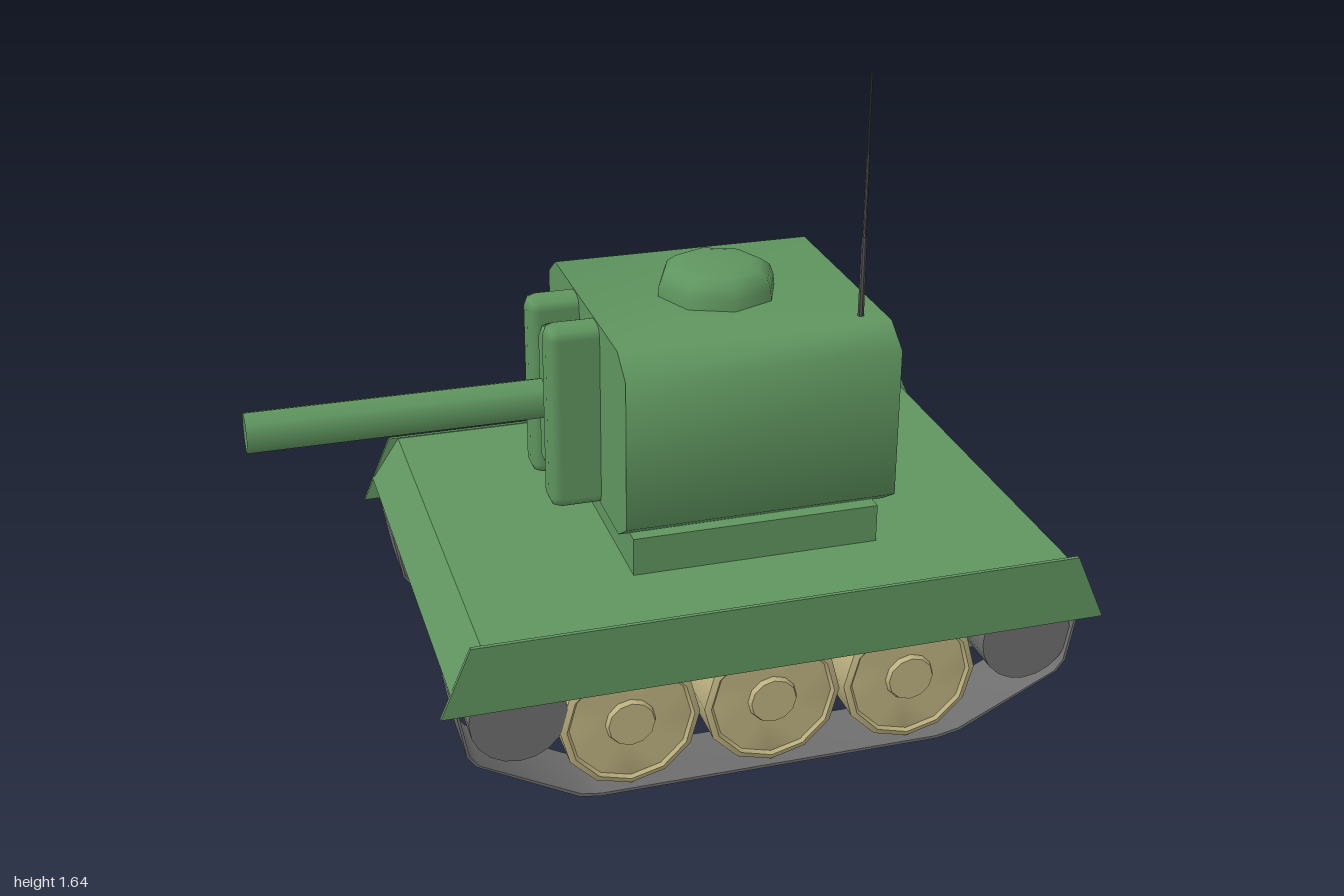
import * as THREE from 'three';
import { toCreasedNormals } from 'three/addons/utils/BufferGeometryUtils.js';
import { RoundedBoxGeometry } from 'three/addons/geometries/RoundedBoxGeometry.js';

const paint = (color, side = THREE.FrontSide) => new THREE.MeshStandardMaterial({ color, side });
const green = paint(0x5f955f);
const tan = paint(0xbdb180);
const grey = paint(0x6e6e6e);
const dark = paint(0x505050);

export function createModel() {
  const model = new THREE.Group();

  const add = (name, geometry, material, x = 0, y = 0, z = 0) => {
    const mesh = new THREE.Mesh(geometry, material);
    mesh.name = name;
    mesh.position.set(x, y, z);
    model.add(mesh);
    return mesh;
  };
  const toPoints = (list) => list.map(([x, y]) => new THREE.Vector2(x, y));

  // Profile in x and y, extruded along z and centred on z = 0
  const prism = (points, depth, hole) => {
    const shape = new THREE.Shape(toPoints(points));
    if (hole) shape.holes.push(new THREE.Path(toPoints(hole)));
    const geometry = new THREE.ExtrudeGeometry(shape, { depth, bevelEnabled: false });
    return geometry.translate(0, 0, -depth / 2);
  };
  // Box given by its ranges in x and y and its half width in z
  const block = (name, x0, x1, y0, y1, halfZ) =>
    add(name, new THREE.BoxGeometry(x1 - x0, y1 - y0, halfZ * 2), green, (x0 + x1) / 2, (y0 + y1) / 2, 0);
  // Turned part, profile as radius and height
  const turned = (points, sides, crease) =>
    toCreasedNormals(new THREE.LatheGeometry(toPoints(points), sides), crease);

  // Hull and deck with sloping ends
  block('lowerHull', -0.55, 0.88, 0.13, 0.38, 0.345);
  add('deck', prism([[-0.635, 0.37], [0.965, 0.37], [0.89, 0.483], [-0.56, 0.483]], 1.11), green);
  block('turretRing', -0.145, 0.475, 0.48, 0.58, 0.343);

  // Turret: chamfered section swept along x
  const section = [
    [-0.3, 0.575], [0.3, 0.575], [0.372, 0.622], [0.372, 1.0],
    [0.3, 1.05], [-0.3, 1.05], [-0.372, 1.0], [-0.372, 0.622],
  ];
  const turret = toCreasedNormals(prism(section, 0.675).rotateY(Math.PI / 2), 1.05);
  add('turret', turret, green, 0.1675, 0, 0);

  // Gun shield: two cheeks around a slightly lower middle
  for (const side of [-1, 1]) {
    add('gunShieldCheek', new RoundedBoxGeometry(0.175, 0.472, 0.09, 1, 0.028), green, -0.2075, 0.81, side * 0.098);
  }
  add('gunShieldMiddle', new RoundedBoxGeometry(0.16, 0.38, 0.11, 1, 0.03), green, -0.2, 0.81, 0);

  // Gun barrel, open at the muzzle
  const barrel = new THREE.CylinderGeometry(0.052, 0.052, 0.8, 8, 1, true);
  barrel.rotateZ(Math.PI / 2);
  add('gunBarrel', barrel, paint(0x5f955f, THREE.DoubleSide), -0.6, 0.815, 0);

  // Eight-sided cupola
  const cupola = turned([[0.15, 0], [0.148, 0.028], [0.138, 0.055], [0.115, 0.072], [0.09, 0.077], [0, 0.077]], 8, 1.0);
  add('cupola', cupola, green, 0.165, 1.048, 0);

  // Stepped aerial
  const aerial = turned([[0.008, 0], [0.007, 0.2], [0.005, 0.2], [0.0045, 0.4], [0.003, 0.4], [0.0025, 0.597], [0, 0.597]], 8, 0.9);
  add('aerial', aerial, dark, 0.445, 1.048, 0.252);

  // Road wheel with raised rim and hub on both faces
  const outerFace = [[0.172, 0.074], [0.157, 0.08], [0.15, 0.072], [0.062, 0.072], [0.057, 0.085], [0, 0.085]];
  const wheelProfile = [...outerFace.map(([r, h]) => [r, -h]).reverse(), ...outerFace];
  const wheel = turned(wheelProfile, 12, 0.6).rotateX(Math.PI / 2);
  const endWheel = toCreasedNormals(new THREE.CylinderGeometry(0.118, 0.118, 0.15, 20), 0.6).rotateX(Math.PI / 2);

  // Track loop, a thin band
  const loop = [
    [-0.33, 0.008], [-0.28, 0], [0.59, 0], [0.65, 0.012], [0.905, 0.14], [0.927, 0.17],
    [0.948, 0.29], [0.93, 0.35], [0.88, 0.372], [-0.55, 0.372], [-0.6, 0.35], [-0.618, 0.29],
    [-0.597, 0.17], [-0.575, 0.14],
  ];
  const inner = loop.map(([x, y]) => [0.165 + (x - 0.165) * 0.991, 0.186 + (y - 0.186) * 0.96]);
  const track = toCreasedNormals(prism(loop, 0.175, inner), 1.0);

  // Side skirt
  const skirt = prism([[-0.66, 0.31], [0.993, 0.31], [0.915, 0.485], [-0.585, 0.485]], 0.01);

  for (const [label, side] of [['left', -1], ['right', 1]]) {
    const prefix = side > 0 ? 'front' : 'back';
    const z = side * 0.4365;
    add(prefix + 'Skirt', skirt, green, 0, 0, side * 0.56);
    add(prefix + 'Track', track, grey, 0, 0, z);
    for (const x of [-0.2, 0.155, 0.51]) add(prefix + 'RoadWheel', wheel, tan, x, 0.186, z);
    for (const x of [-0.47, 0.82]) add(prefix + 'EndWheel', endWheel, grey, x, 0.247, z);
  }

  return model;
}
